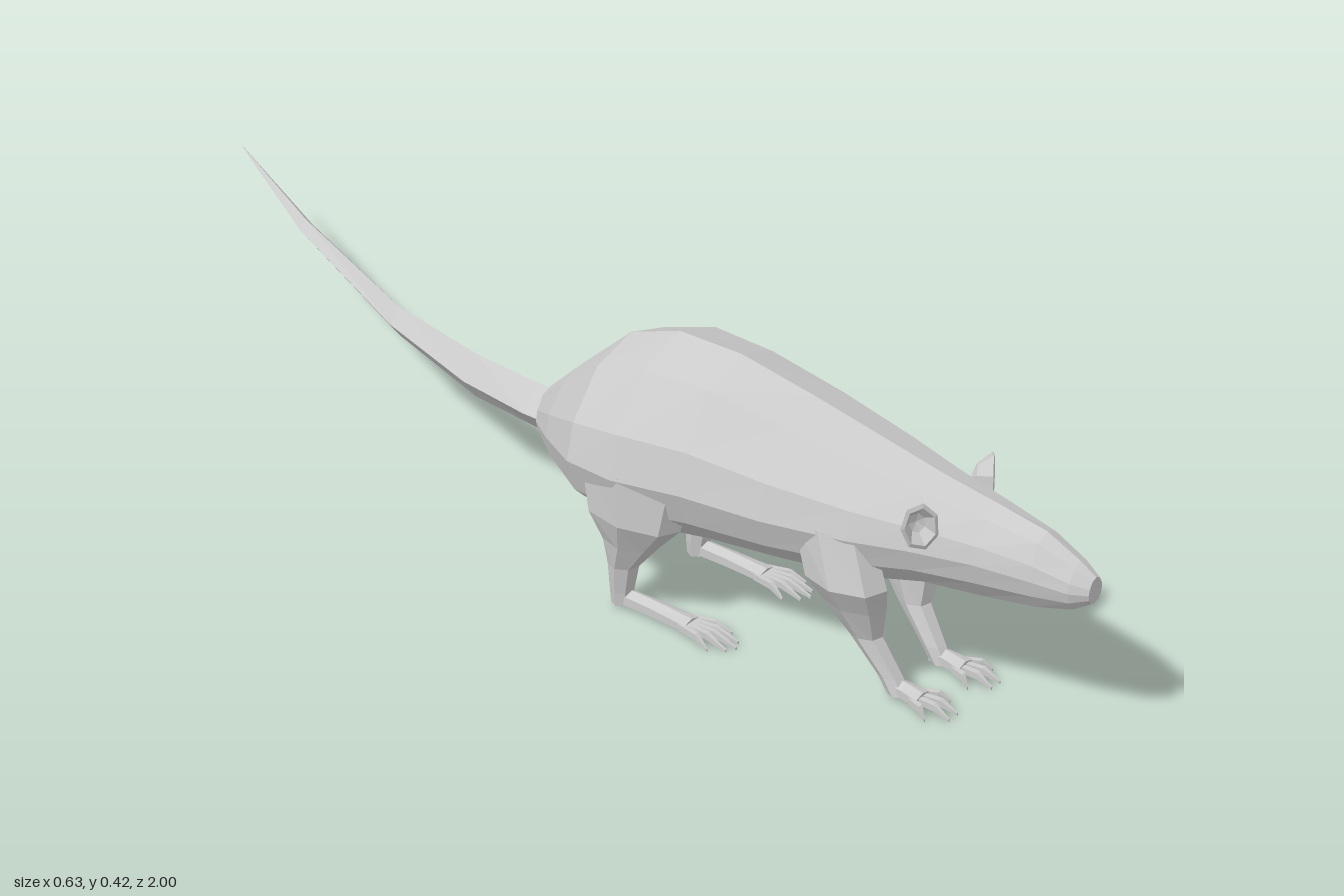
import * as THREE from 'three';

const material = new THREE.MeshStandardMaterial({ color: 0xcccccc, flatShading: true, side: THREE.DoubleSide });
const CENTRE = -0.16; // the body's own midline

// Skin a list of equal-sized rings and close both ends.
function loft(rings) {
  const n = rings[0].length, pos = rings.flat(2), index = [];
  for (let r = 0; r < rings.length - 1; r++) {
    for (let i = 0; i < n; i++) {
      const a = r * n + i, b = r * n + (i + 1) % n;
      index.push(a, b, a + n, b, b + n, a + n);
    }
  }
  const last = (rings.length - 1) * n;
  for (let i = 1; i < n - 1; i++) {
    index.push(0, i + 1, i, last, last + i, last + i + 1);
  }
  // Turn the faces outward whichever way the rings run
  let volume = 0;
  const p = (i) => new THREE.Vector3().fromArray(pos, i * 3);
  for (let i = 0; i < index.length; i += 3) {
    volume += p(index[i]).dot(p(index[i + 1]).cross(p(index[i + 2])));
  }
  if (volume < 0) index.reverse();
  const g = new THREE.BufferGeometry();
  g.setAttribute('position', new THREE.Float32BufferAttribute(pos, 3));
  g.setIndex(index);
  g.computeVertexNormals();
  return g;
}

function part(parent, name, geometry) {
  const mesh = new THREE.Mesh(geometry, material);
  mesh.name = name;
  parent.add(mesh);
  return mesh;
}

// Rings of given radii, standing upright (across z) or lying flat (across y)
const angles = (n) => Array.from({ length: n }, (_, i) => ((i + 0.5) / n) * Math.PI * 2);
const upright = ([x, y, z, rx, ry], n) => angles(n).map((a) => [x + rx * Math.cos(a), y + ry * Math.sin(a), z]);
const flat = ([x, y, z, rx, rz], n) => angles(n).map((a) => [x + rx * Math.cos(a), y, z + rz * Math.sin(a)]);

// Body cross-section: fraction of half width, fraction of height above or below the widest line
const half = [[0, 1], [0.53, 0.84], [0.9, 0.38], [1, 0], [0.88, -0.45], [0.5, -0.88], [0, -1]];
const section = [...half, ...half.slice(1, -1).reverse().map(([x, y]) => [-x, y])];

// z, centre x, half width, top, widest line, bottom
const bodyRows = [
  [1.0, -0.163, 0.017, 0.272, 0.25, 0.232],
  [0.975, -0.163, 0.03, 0.288, 0.25, 0.215],
  [0.92, -0.163, 0.042, 0.315, 0.255, 0.2],
  [0.84, -0.162, 0.06, 0.33, 0.26, 0.19],
  [0.75, -0.162, 0.083, 0.346, 0.26, 0.185],
  [0.66, -0.16, 0.108, 0.365, 0.255, 0.163],
  [0.53, -0.157, 0.132, 0.392, 0.25, 0.148],
  [0.4, -0.156, 0.145, 0.417, 0.25, 0.137],
  [0.29, -0.155, 0.162, 0.419, 0.245, 0.122],
  [0.2, -0.152, 0.15, 0.388, 0.24, 0.12],
  [0.1, -0.137, 0.09, 0.3, 0.215, 0.138],
  [0.03, -0.126, 0.036, 0.235, 0.19, 0.155],
];

// x, y, z, half width, half height
const tailRows = [
  [-0.128, 0.193, 0.06, 0.034, 0.038],
  [-0.122, 0.191, 0.0, 0.034, 0.038],
  [-0.085, 0.179, -0.15, 0.029, 0.037],
  [-0.02, 0.181, -0.36, 0.02, 0.025],
  [0.143, 0.183, -0.7, 0.015, 0.014],
  [0.315, 0.185, -1.0, 0.001, 0.001],
];

// Limb rows: distance from midline, y, z, half width, half depth
const limbs = {
  front: {
    leg: [
      [0.08, 0.26, 0.62, 0.035, 0.065], [0.085, 0.18, 0.65, 0.042, 0.065], [0.07, 0.14, 0.656, 0.034, 0.05],
      [0.06, 0.09, 0.67, 0.021, 0.026], [0.054, 0.035, 0.71, 0.018, 0.019], [0.054, 0.01, 0.725, 0.017, 0.018],
    ],
    foot: [0.71, 0.765], toeEnd: 0.82, toes: 4, spread: 0.032, x: 0.054,
  },
  hind: {
    leg: [
      [0.105, 0.25, 0.3, 0.05, 0.1], [0.115, 0.17, 0.3, 0.038, 0.08], [0.1, 0.12, 0.285, 0.032, 0.046],
      [0.094, 0.075, 0.268, 0.024, 0.024], [0.092, 0.03, 0.264, 0.02, 0.018], [0.092, 0.008, 0.264, 0.018, 0.016],
    ],
    foot: [0.255, 0.39], toeEnd: 0.47, toes: 5, spread: 0.03, x: 0.092,
  },
};

function addLimb(root, name, limb, s) {
  const group = new THREE.Group();
  group.name = name;
  const X = (d) => CENTRE + s * d;
  part(group, 'leg', loft(limb.leg.map(([d, ...rest]) => flat([X(d), ...rest], 7))));

  // Sole, flattening towards the toes
  const [heel, ball] = limb.foot;
  part(group, 'foot', loft([
    upright([X(limb.x), 0.018, heel, 0.014, 0.015], 6),
    upright([X(limb.x), 0.017, (heel + ball) / 2, 0.016, 0.013], 6),
    upright([X(limb.x), 0.014, ball, 0.02, 0.01], 6),
  ]));

  // Toes fan out, the middle ones longest
  for (let i = 0; i < limb.toes; i++) {
    const t = (i / (limb.toes - 1)) * 2 - 1;
    const x = X(limb.x), end = limb.toeEnd - 0.03 * t * t;
    part(group, 'toe', loft([
      upright([x + t * 0.014, 0.014, ball - 0.012, 0.006, 0.007], 4),
      upright([x + t * limb.spread * 0.75, 0.015, (ball + end) / 2, 0.006, 0.007], 4),
      upright([x + t * limb.spread, 0.004, end, 0.002, 0.003], 4),
    ]));
  }
  root.add(group);
}

export function createModel() {
  const root = new THREE.Group();
  root.name = 'rodent';

  // Head and trunk in one skin
  part(root, 'body', loft(bodyRows.map(([z, cx, w, top, mid, bottom]) =>
    section.map(([u, v]) => [cx + u * w, mid + v * (v > 0 ? top - mid : mid - bottom), z]))));

  // Tail with a diamond section
  part(root, 'tail', loft(tailRows.map(([x, y, z, w, h]) =>
    [[x + w, y, z], [x, y + h, z], [x - w, y, z], [x, y - h, z]])));

  // Cupped ear outline, from the back round the rim into the hollow
  const earProfile = [[0, -0.022], [0.02, -0.014], [0.038, 0.008], [0.031, 0.01], [0.016, -0.004], [0, -0.008]]
    .map(([r, h]) => new THREE.Vector2(r, h));
  const earGeometry = new THREE.LatheGeometry(earProfile, 7).rotateX(Math.PI / 2).scale(0.75, 1, 1);

  for (const s of [1, -1]) {
    const side = s > 0 ? 'left' : 'right';
    const ear = part(root, side + 'Ear', earGeometry);
    ear.position.set(CENTRE + s * 0.085, 0.308, 0.765);
    ear.rotation.set(0, s * 0.6, -s * 0.25);
    addLimb(root, side + 'FrontLeg', limbs.front, s);
    addLimb(root, side + 'HindLeg', limbs.hind, s);
  }
  return root;
}
